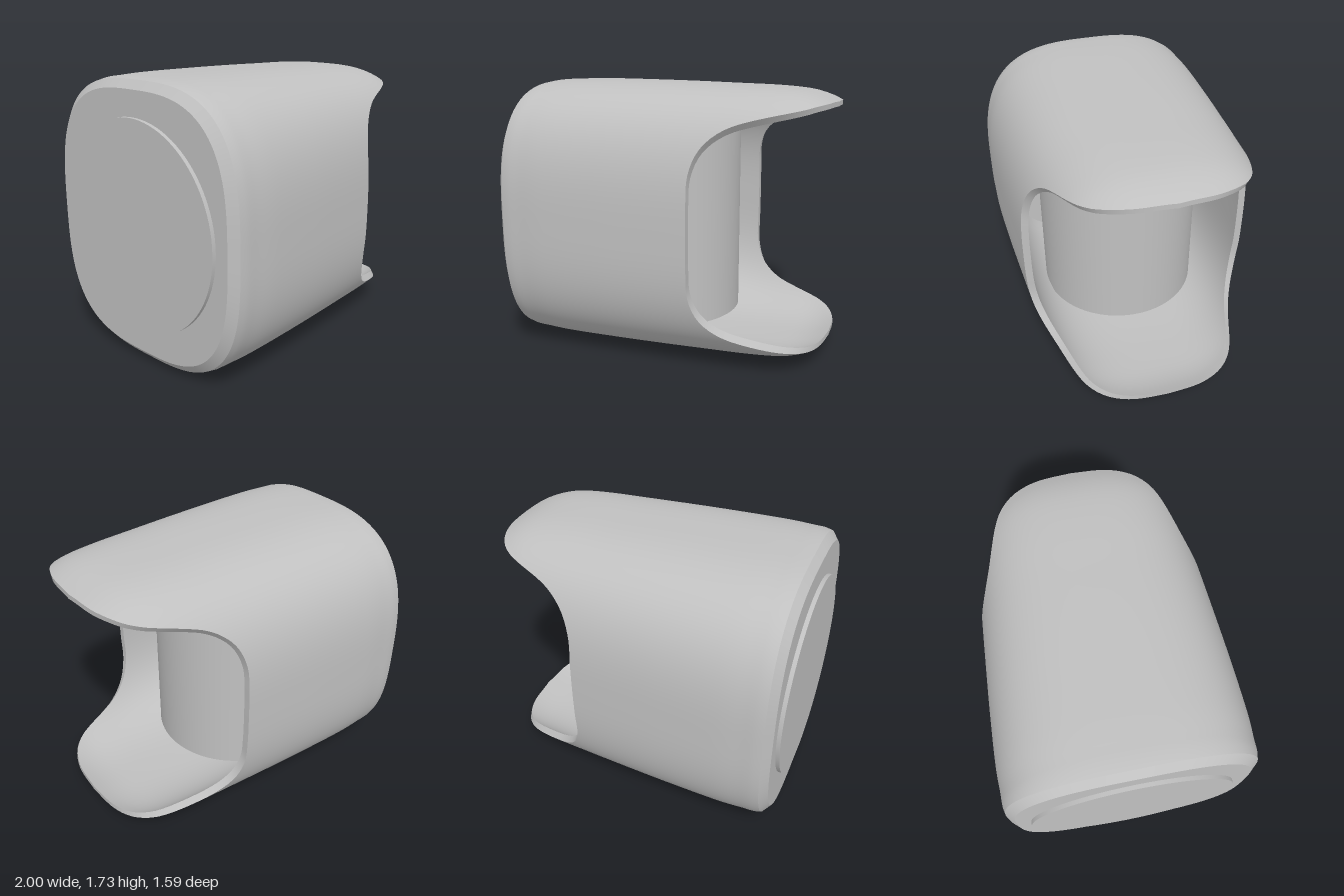
import * as THREE from 'three';

const MID = 0.87; // height of the shell axis

// Outer half-height and half-depth along the length: [x, halfY, halfZ]
const PROFILE = [
  [-0.975, 0.80, 0.73], [-0.93, 0.85, 0.78], [-0.8, 0.862, 0.79], [-0.65, 0.866, 0.794],
  [-0.3, 0.863, 0.78], [0, 0.858, 0.762], [0.3, 0.85, 0.742], [0.6, 0.841, 0.72],
  [0.8, 0.823, 0.70], [0.92, 0.79, 0.67], [1, 0.752, 0.64],
];
// Wall thickness along the length: [x, thickness]
const WALL = [[-0.9, 0.11], [-0.3, 0.085], [0.3, 0.045], [0.7, 0.04], [1, 0.03]];
// Edge of the opening for one quarter: [angle in degrees, x]
const EDGE = [
  [0, 0.3], [15, 0.3], [27, 0.305], [36, 0.35], [41.8, 0.42], [46.2, 0.51], [49, 0.6],
  [52.9, 0.74], [56.1, 0.83], [61.3, 0.91], [71.4, 0.975], [90, 1],
];

// Smooth interpolation of column k in a table sorted by its first column
function sample(table, x, k) {
  const n = table.length - 1;
  let i = 0;
  while (i < n - 1 && x > table[i + 1][0]) i++;
  const slope = (j) => {
    const a = table[Math.max(j - 1, 0)], b = table[Math.min(j + 1, n)];
    return (b[k] - a[k]) / (b[0] - a[0]);
  };
  const p = table[i], q = table[i + 1], d = q[0] - p[0];
  const t = THREE.MathUtils.clamp((x - p[0]) / d, 0, 1), t2 = t * t, t3 = t2 * t;
  return p[k] * (2 * t3 - 3 * t2 + 1) + q[k] * (3 * t2 - 2 * t3)
    + d * (slope(i) * (t3 - 2 * t2 + t) + slope(i + 1) * (t3 - t2));
}

// Columns round the shell: angle and edge position, mirrored from one quarter
function makeColumns() {
  const pts = EDGE.map(([a, x]) => new THREE.Vector3(a * Math.PI / 180, x, 0));
  const q = new THREE.CatmullRomCurve3(pts).getSpacedPoints(40);
  const col = (a, p) => ({ angle: a, edge: p.y });
  const up = q.slice(0, -1), down = q.slice(1).reverse();
  return [
    ...up.map((p) => col(p.x, p)), ...down.map((p) => col(Math.PI - p.x, p)),
    ...up.map((p) => col(Math.PI + p.x, p)), ...down.map((p) => col(2 * Math.PI - p.x, p)),
  ];
}

// Point on the rounded-square section at x, moved inwards by inset
function sectionPoint(angle, x, inset = 0) {
  const hy = sample(PROFILE, x, 1) - inset, hz = sample(PROFILE, x, 2) - inset;
  const c = Math.cos(angle), s = Math.sin(angle);
  const r = Math.pow(Math.abs(c / hz) ** 3 + Math.abs(s / hy) ** 3, -1 / 3);
  return new THREE.Vector3(x, MID + r * s, r * c);
}

// Skin between closed loops of points
function loft(name, rows, material) {
  const m = rows[0].length, index = [];
  for (let i = 0; i < rows.length - 1; i++) {
    for (let j = 0; j < m; j++) {
      const k = (j + 1) % m;
      const a = i * m + j, b = i * m + k, c = a + m, d = b + m;
      index.push(a, c, b, b, c, d);
    }
  }
  const geo = new THREE.BufferGeometry().setFromPoints(rows.flat());
  geo.setIndex(index);
  geo.computeVertexNormals();
  const mesh = new THREE.Mesh(geo, material);
  mesh.name = name;
  return mesh;
}

export function createModel() {
  const group = new THREE.Group();
  group.name = 'hoodedHousing';
  const grey = new THREE.MeshStandardMaterial({ color: 0xc0c0c0 });
  grey.name = 'plainGrey';

  const columns = makeColumns();
  const BACK = -0.975, SHOULDER = -0.93, FLOOR = -0.87, STEPS = 36;
  const centre = (x) => columns.map(() => new THREE.Vector3(x, MID, 0));
  const outer = (x) => columns.map((c) => sectionPoint(c.angle, x));

  const outerRows = [], innerRows = [];
  for (let i = 0; i <= STEPS; i++) {
    const t = i / STEPS;
    outerRows.push(columns.map((c) => sectionPoint(c.angle, THREE.MathUtils.lerp(SHOULDER, c.edge, t))));
    innerRows.push(columns.map((c) => {
      const x = THREE.MathUtils.lerp(c.edge, FLOOR, t);
      return sectionPoint(c.angle, x, sample(WALL, x, 1));
    }));
  }

  // Shell: back, chamfer, outside, rim, inside and inner back wall
  group.add(
    loft('backFace', [centre(BACK), outer(BACK)], grey),
    loft('backChamfer', [outer(BACK), outer(SHOULDER)], grey),
    loft('outerShell', outerRows, grey),
    loft('openingRim', [outerRows[STEPS], innerRows[0]], grey),
    loft('innerLining', innerRows, grey),
    loft('innerBackWall', [innerRows[STEPS], centre(FLOOR)], grey),
  );

  // Round mounting plate on the back
  const plate = new THREE.Mesh(new THREE.CylinderGeometry(0.645, 0.645, 0.05, 96), grey);
  plate.name = 'backPlate';
  plate.rotation.z = Math.PI / 2;
  plate.position.set(-0.975, MID, 0);
  group.add(plate);

  // Upright drum inside the housing
  const drum = new THREE.Mesh(new THREE.CylinderGeometry(0.535, 0.535, 1.225, 96), grey);
  drum.name = 'innerDrum';
  drum.position.set(-0.185, 0.815, 0);
  group.add(drum);

  return group;
}
